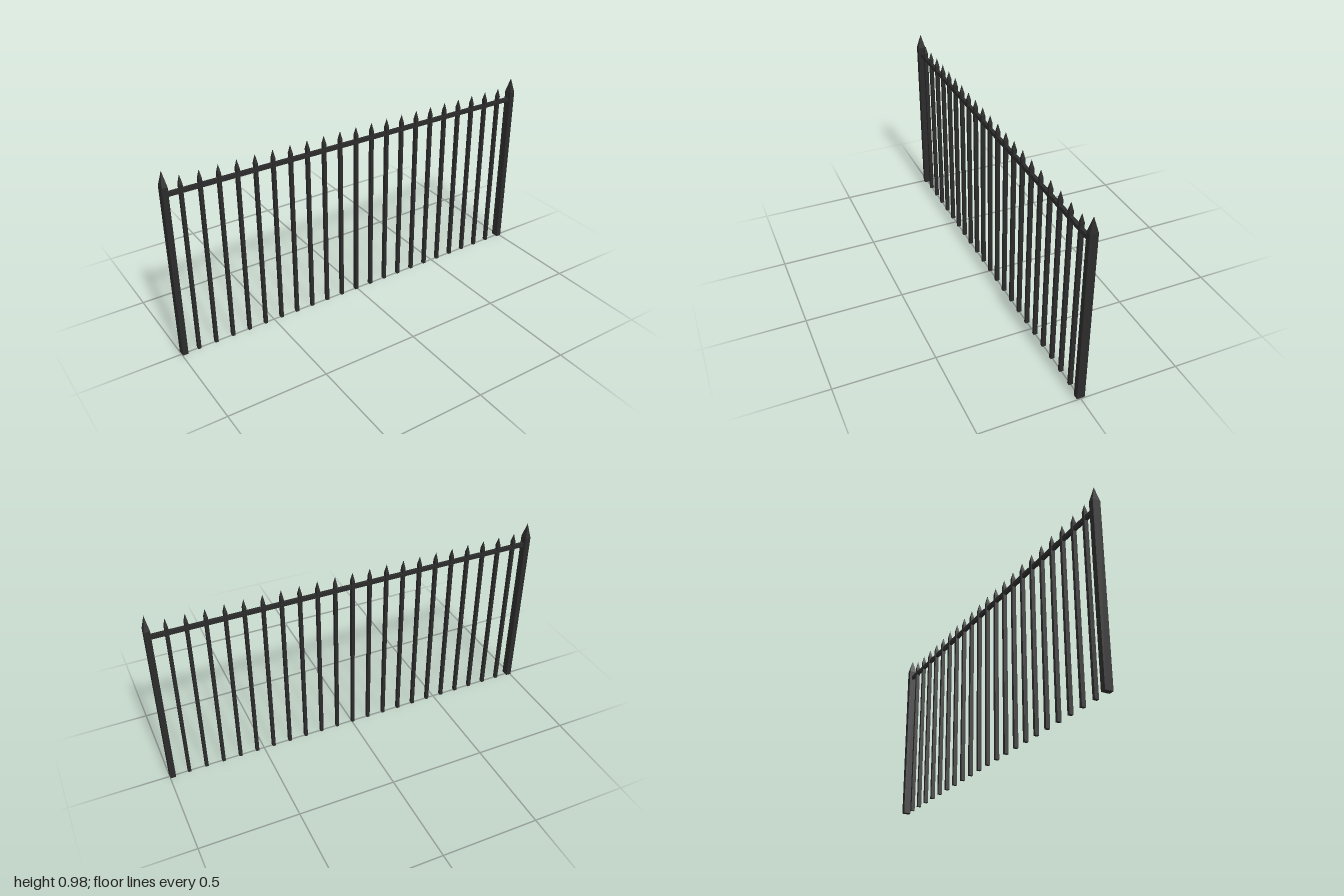
import * as THREE from 'three';

const iron = new THREE.MeshStandardMaterial({ color: 0x2b2b2b, flatShading: true });

// Square bar from y = bottom to shoulder, capped by a four-sided point reaching tip
function pointedBar(name, width, depth, bottom, shoulder, tip) {
  const bar = new THREE.Group();
  bar.name = name;

  const shaft = new THREE.Mesh(new THREE.BoxGeometry(width, shoulder - bottom, depth), iron);
  shaft.name = name + 'Shaft';
  shaft.position.y = (bottom + shoulder) / 2;

  const pointGeometry = new THREE.ConeGeometry(Math.SQRT1_2, 1, 4, 1, true);
  pointGeometry.rotateY(Math.PI / 4);
  pointGeometry.scale(width, tip - shoulder, depth);
  const point = new THREE.Mesh(pointGeometry, iron);
  point.name = name + 'Point';
  point.position.y = (shoulder + tip) / 2;

  bar.add(shaft, point);
  return bar;
}

export function createModel() {
  const fence = new THREE.Group();
  fence.name = 'fence';

  // End posts
  for (const side of [-1, 1]) {
    const post = pointedBar(side > 0 ? 'leftPost' : 'rightPost', 0.028, 0.04, 0.005, 0.9, 0.975);
    post.position.x = side * 0.986;
    fence.add(post);
  }

  // Evenly spaced pickets
  const count = 21;
  for (let i = 0; i < count; i++) {
    const picket = pointedBar('picket', 0.016, 0.02, 0, 0.892, 0.935);
    picket.position.x = -0.909 + i * 0.0904;
    fence.add(picket);
  }

  // Top rail between the posts
  const rail = new THREE.Mesh(new THREE.BoxGeometry(1.95, 0.021, 0.016), iron);
  rail.name = 'topRail';
  rail.position.y = 0.858;
  fence.add(rail);

  return fence;
}
